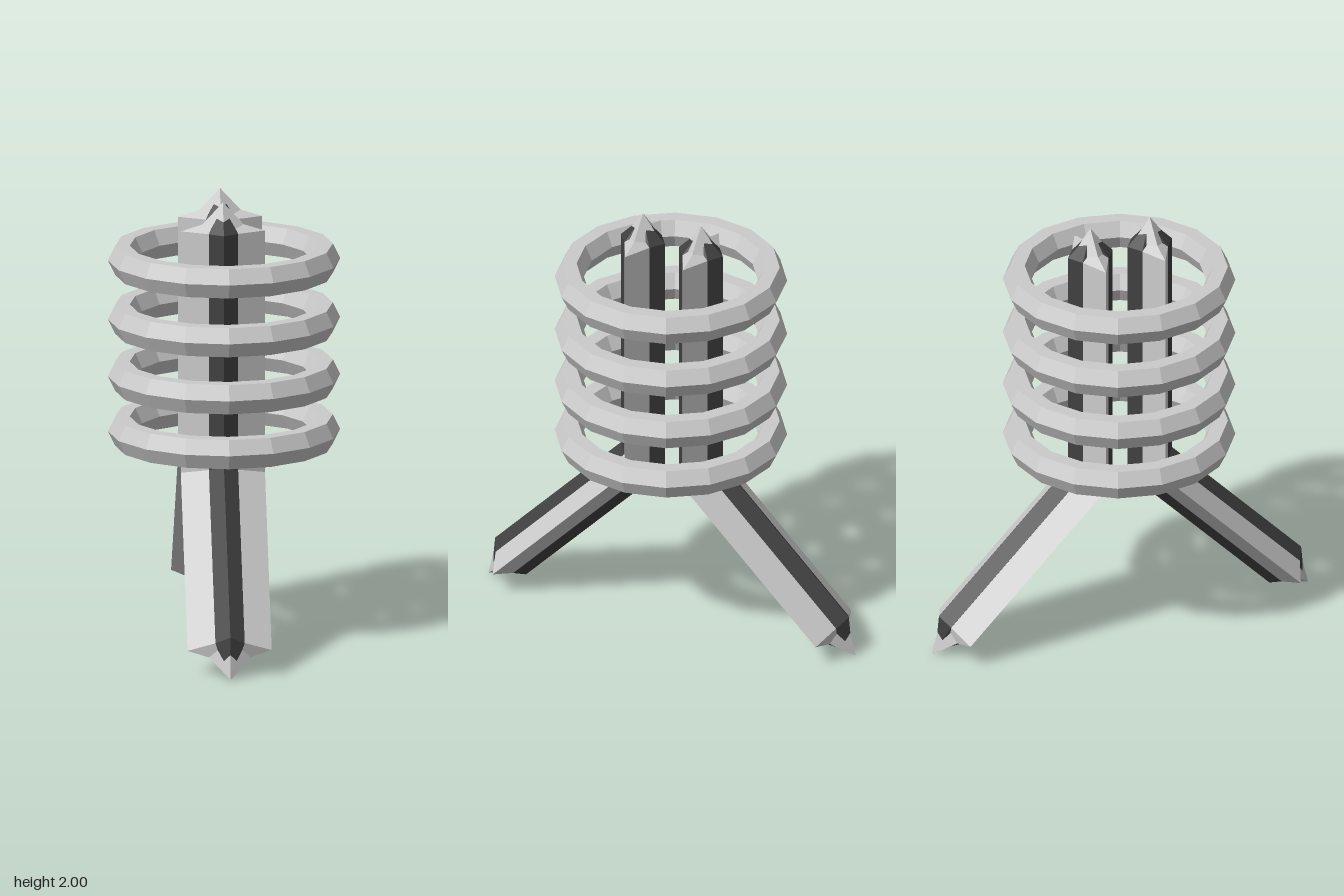
import * as THREE from 'three';

const D = Math.SQRT1_2;
const light = new THREE.MeshStandardMaterial({ color: 0xcccccc, flatShading: true });
const dark = new THREE.MeshStandardMaterial({ color: 0x404040, flatShading: true });

// Stations of a bent bar in the y-z plane: centre, direction of the section's depth, outward axis
const TOP = { c: [1.87, 0.142], n: [0, 1], a: [1, 0] };
const ELBOW = { c: [0.77, 0.142], n: [Math.tan(Math.PI / 8), 1], a: [0, 0] };
const END = { c: [0.11, 0.79], n: [D, D], a: [-D, D] };

// Section points are [x, depth, height along the axis]
const place = (s, pts) => pts.map(([x, n, h = 0]) => new THREE.Vector3(
  x, s.c[0] + n * s.n[0] + h * s.a[0], s.c[1] + n * s.n[1] + h * s.a[1]));

// Skin a stack of equal-length rings, listed from top to bottom
function loft(rings) {
  const pos = [];
  const tri = (a, b, c) => {
    if (a.equals(b) || b.equals(c) || a.equals(c)) return;
    for (const p of [a, b, c]) pos.push(p.x, p.y, p.z);
  };
  for (let r = 0; r < rings.length - 1; r++) {
    const t = rings[r], b = rings[r + 1];
    for (let i = 0; i < t.length; i++) {
      const j = (i + 1) % t.length;
      tri(t[i], b[i], b[j]);
      tri(t[i], b[j], t[j]);
    }
  }
  const g = new THREE.BufferGeometry();
  g.setAttribute('position', new THREE.Float32BufferAttribute(pos, 3));
  g.computeVertexNormals();
  return g;
}

// Bent bar with a pointed cap at both ends; crown(h) gives the cap's shoulder ring
function bentBar(section, crown, topTip, endTip) {
  const tip = (h) => section.map(() => [0, 0, h]);
  return loft([
    place(TOP, tip(topTip)), place(TOP, crown(topTip)), place(TOP, section),
    place(ELBOW, section),
    place(END, section), place(END, crown(endTip)), place(END, tip(endTip)),
  ]);
}

export function createModel() {
  const model = new THREE.Group();
  model.name = 'ringedProngs';

  // Wide light bar whose caps step in at a shoulder
  const wide = [[0.187, 0], [0, -0.094], [-0.187, 0], [0, 0.094]];
  const wideGeo = bentBar(wide,
    (h) => wide.map(([x, n]) => (x ? [Math.sign(x) * 0.092, 0, h * 0.23] : [x, n])), 0.13, 0.155);

  // Narrow dark core showing as ridges along front and back
  const core = [[0.065, 0.062], [0.065, -0.062], [0, -0.107],
    [-0.065, -0.062], [-0.065, 0.062], [0, 0.107]];
  const coreGeo = bentBar(core, () => core, 0.11, 0.13);

  // Front and back prongs
  for (const [name, turn] of [['frontProng', 0], ['backProng', Math.PI]]) {
    const prong = new THREE.Group();
    prong.name = name;
    const bar = new THREE.Mesh(wideGeo, light);
    bar.name = 'prongBar';
    const ridge = new THREE.Mesh(coreGeo, dark);
    ridge.name = 'prongRidge';
    prong.add(bar, ridge);
    prong.rotation.y = turn;
    prong.position.x = -0.0115;
    model.add(prong);
  }

  // Four stacked rings
  const ringGeo = new THREE.TorusGeometry(0.451, 0.065, 6, 16);
  ringGeo.rotateX(Math.PI / 2).scale(1, 1.18, 1);
  [0.93, 1.18, 1.44, 1.708].forEach((y, i) => {
    const ring = new THREE.Mesh(ringGeo, light);
    ring.name = `ring${i + 1}`;
    ring.position.y = y;
    model.add(ring);
  });

  return model;
}
